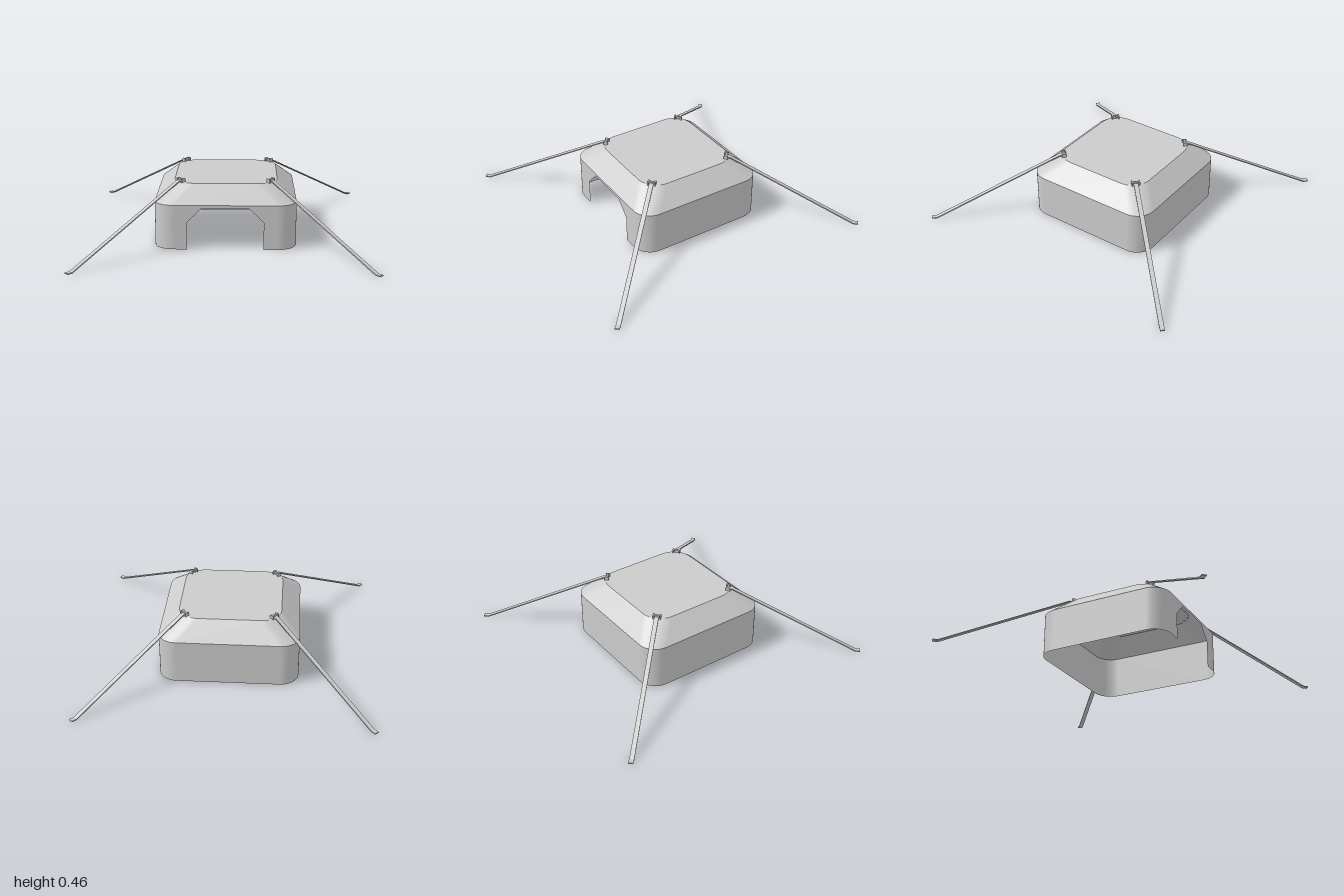
import * as THREE from 'three';

const WALL_TOP = 0.31, ROOF_TOP = 0.43;
const BASE = { half: 0.485, radius: 0.13 };
const TOP = { half: 0.355, radius: 0.14 };

const grey = new THREE.MeshStandardMaterial({ color: 0xcccccc });
const greyThin = new THREE.MeshStandardMaterial({ color: 0xcccccc, side: THREE.DoubleSide });

// Rounded square as [x, z] points, from the front +x corner round to the front -x corner
function outline({ half, radius }, steps = 10) {
  const points = [], c = half - radius;
  for (let corner = 0; corner < 4; corner++) {
    const mid = (corner + 0.5) * Math.PI / 2;
    const cx = Math.sign(Math.sin(mid)) * c, cz = Math.sign(Math.cos(mid)) * c;
    for (let i = 0; i <= steps; i++) {
      const a = (corner + i / steps) * Math.PI / 2;
      points.push([cx + radius * Math.sin(a), cz + radius * Math.cos(a)]);
    }
  }
  return points;
}

// Skin between a lower and an upper outline
function skin(lower, y0, upper, y1, closed) {
  const n = lower.length, positions = [], index = [];
  for (let i = 0; i < n; i++) {
    positions.push(lower[i][0], y0, lower[i][1], upper[i][0], y1, upper[i][1]);
  }
  for (let i = 0; i < (closed ? n : n - 1); i++) {
    const a = 2 * i, b = 2 * ((i + 1) % n);
    index.push(a, b, b + 1, a, b + 1, a + 1);
  }
  const geometry = new THREE.BufferGeometry();
  geometry.setAttribute('position', new THREE.Float32BufferAttribute(positions, 3));
  geometry.setIndex(index);
  geometry.computeVertexNormals();
  return geometry;
}

function add(parent, name, geometry, material = grey) {
  const mesh = new THREE.Mesh(geometry, material);
  mesh.name = name;
  parent.add(mesh);
  return mesh;
}

function polygon(points) {
  return new THREE.Shape(points.map(([x, y]) => new THREE.Vector2(x, y)));
}

// Guy strap and its clip, laid out along +x
function createGuyLine() {
  const line = new THREE.Group();
  const width = 0.031, t = 0.008;

  // Flat strap: short tab on the roof, long slope, foot on the ground
  const path = [[0.425, 0.434], [0.465, 0.432], [1.362, 0], [1.399, 0]];
  const profile = polygon([...path, ...path.map(([x, y]) => [x + (x > 0.5 && x < 1.38 ? 0.003 : 0), y + t]).reverse()]);
  const strap = new THREE.ExtrudeGeometry(profile, { depth: width, bevelEnabled: false });
  strap.translate(0, 0, -width / 2);
  add(line, 'strap', strap);

  // Clip: crossbar between two cheeks
  add(line, 'clipBar', new THREE.BoxGeometry(0.012, 0.012, 0.05)).position.set(0.435, 0.448, 0);
  for (const side of [-1, 1]) {
    add(line, 'clipCheek', new THREE.BoxGeometry(0.03, 0.028, 0.009)).position.set(0.435, 0.441, side * 0.024);
  }
  return line;
}

export function createModel() {
  const model = new THREE.Group();
  const base = outline(BASE), top = outline(TOP);

  // Shelter shell, open underneath
  const shell = new THREE.Group();
  shell.name = 'shell';
  model.add(shell);
  add(shell, 'walls', skin(base, 0, base, WALL_TOP, false), greyThin);
  add(shell, 'roofSlope', skin(base, WALL_TOP, top, ROOF_TOP, true), greyThin);

  const roof = new THREE.ShapeGeometry(polygon(top.map(([x, z]) => [x, -z])));
  roof.rotateX(-Math.PI / 2).translate(0, ROOF_TOP, 0);
  add(shell, 'roofPanel', roof, greyThin);

  // Front wall with the doorway cut out of it
  const flat = BASE.half - BASE.radius;
  const front = polygon([
    [-flat, 0], [-0.26, 0], [-0.26, 0.19], [-0.16, 0.29],
    [0.16, 0.29], [0.26, 0.19], [0.26, 0], [flat, 0],
    [flat, WALL_TOP], [-flat, WALL_TOP],
  ]);
  add(shell, 'frontWall', new THREE.ShapeGeometry(front), greyThin).position.z = BASE.half;

  // One guy line from each roof corner
  for (let i = 0; i < 4; i++) {
    const line = createGuyLine();
    line.name = 'guyLine' + (i + 1);
    line.rotation.y = Math.PI / 4 + i * Math.PI / 2;
    model.add(line);
  }
  return model;
}
